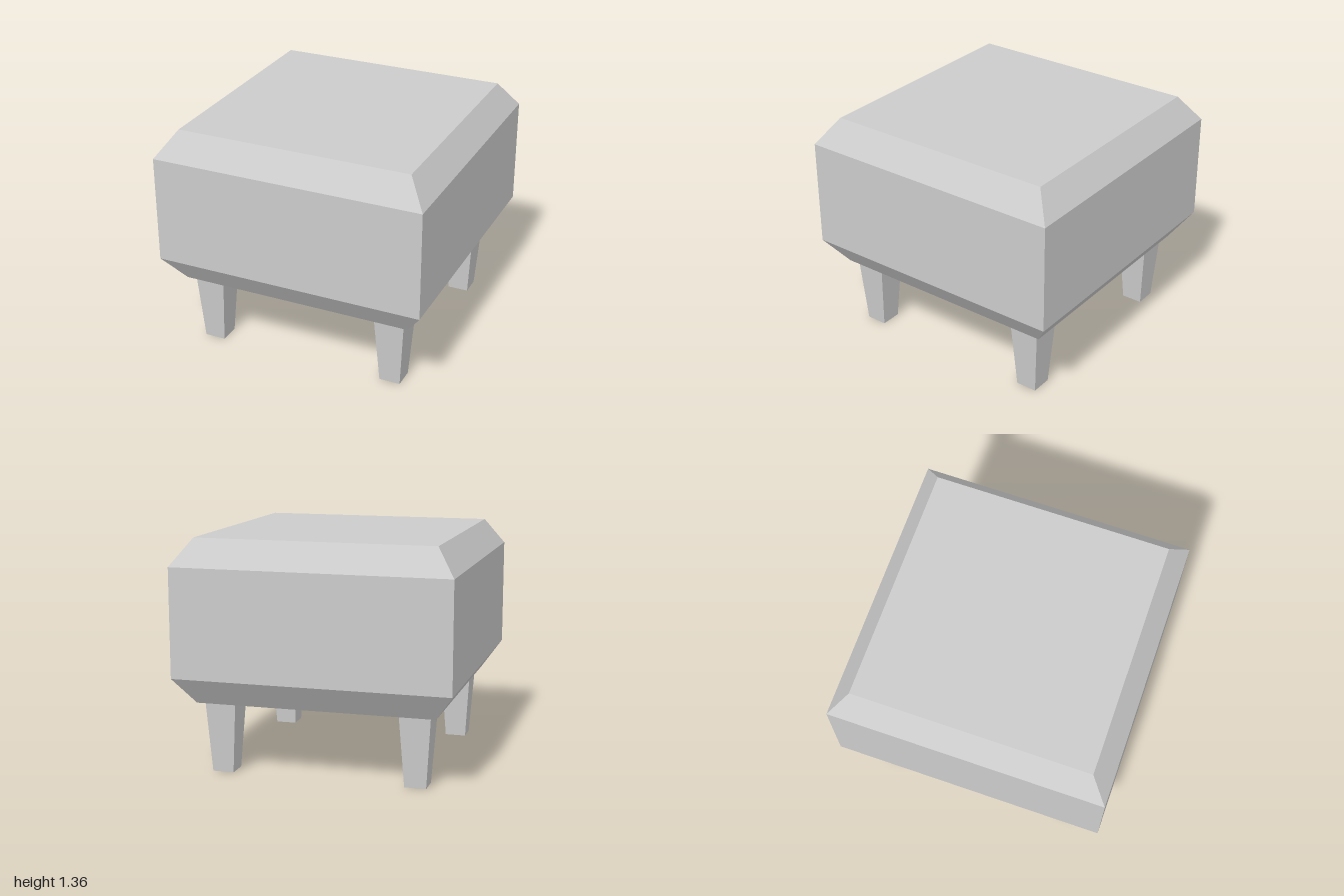
import * as THREE from 'three';

export function createModel() {
  const model = new THREE.Group();
  model.name = 'footstool';
  const grey = new THREE.MeshStandardMaterial({ color: 0xcccccc });
  grey.name = 'light grey';
  grey.flatShading = true;

  // The whole stool is turned slightly about its upright axis
  const stool = new THREE.Group();
  stool.name = 'stool';
  stool.rotation.y = -0.298;
  model.add(stool);

  // Square cushion with bevelled upper and lower edges (half width, height)
  const profile = [[0, 0.415], [0.691, 0.415], [0.8, 0.57], [0.8, 1.2], [0.691, 1.355], [0, 1.355]]
    .map(([half, y]) => new THREE.Vector2(half * Math.SQRT2, y));
  const cushion = new THREE.Mesh(new THREE.LatheGeometry(profile, 4, Math.PI / 4), grey);
  cushion.name = 'cushion';
  stool.add(cushion);

  // Four square legs, tapering towards the floor
  const legGeometry = new THREE.CylinderGeometry(0.09 * Math.SQRT2, 0.062 * Math.SQRT2, 0.415, 4, 1, false, Math.PI / 4);
  for (const x of [-1, 1]) {
    for (const z of [-1, 1]) {
      const leg = new THREE.Mesh(legGeometry, grey);
      leg.name = (z > 0 ? 'front' : 'back') + (x > 0 ? 'Left' : 'Right') + 'Leg';
      leg.position.set(x * 0.565, 0.2075, z * 0.565);
      stool.add(leg);
    }
  }
  return model;
}
